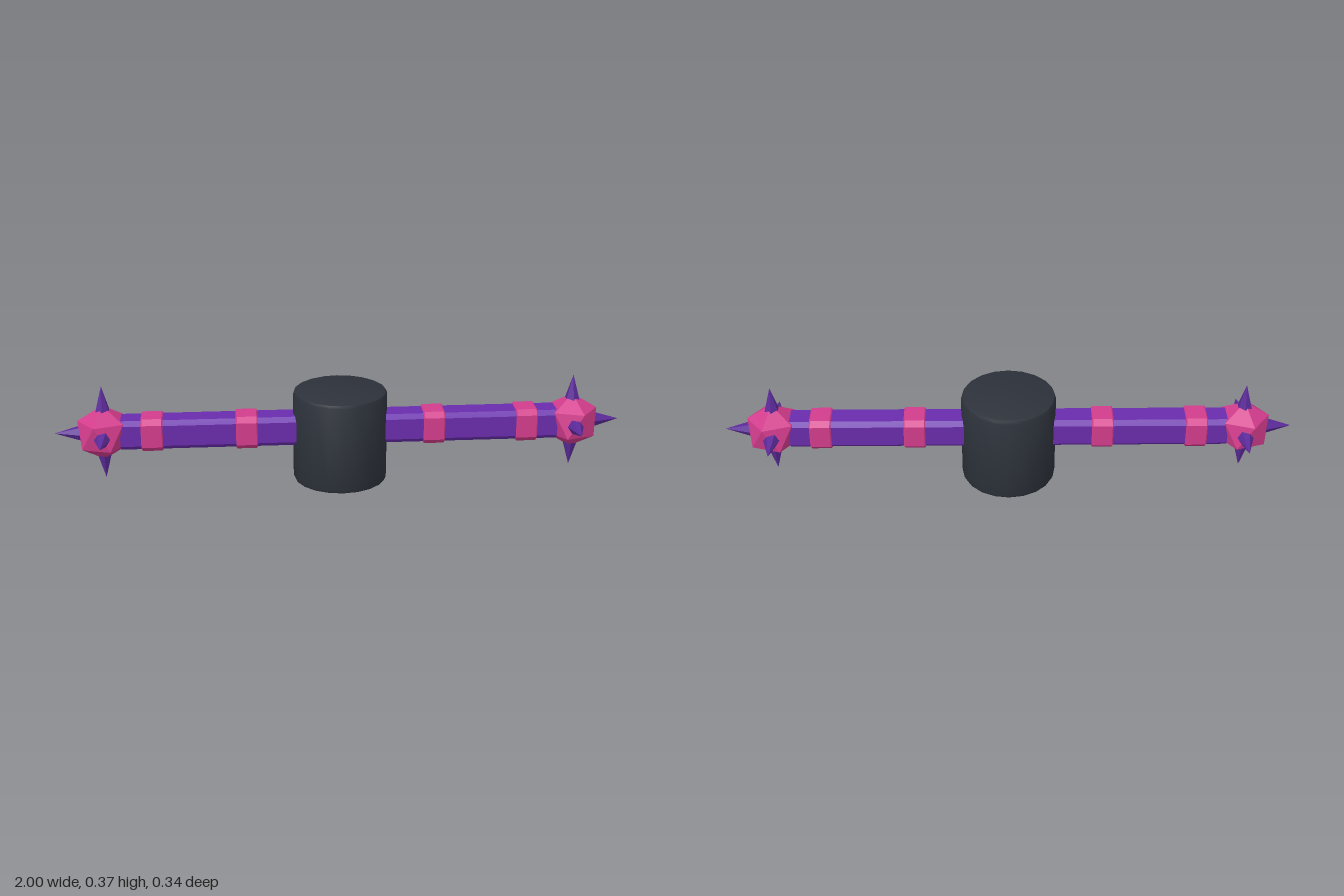
import * as THREE from 'three';
import { toCreasedNormals } from 'three/addons/utils/BufferGeometryUtils.js';

const AXIS_Y = 0.195; // height of the arms
const BALL_X = 0.83;

const paint = (color, flatShading = true) => new THREE.MeshStandardMaterial({ color, flatShading });

function add(parent, name, geometry, material) {
  const mesh = new THREE.Mesh(geometry, material);
  mesh.name = name;
  parent.add(mesh);
  return mesh;
}

// Square bar with chamfered long edges, running along x
function chamferedBar(x0, x1, half, chamfer, bevel = 0) {
  const h = half - bevel, c = h - chamfer;
  const shape = new THREE.Shape([
    [h, -c], [h, c], [c, h], [-c, h], [-h, c], [-h, -c], [-c, -h], [c, -h],
  ].map(([x, y]) => new THREE.Vector2(x, y)));
  return new THREE.ExtrudeGeometry(shape, {
    depth: x1 - x0 - 2 * bevel,
    bevelEnabled: bevel > 0, bevelSize: bevel, bevelThickness: bevel, bevelSegments: 1,
  }).translate(0, 0, x0 + bevel).rotateY(Math.PI / 2);
}

// One spiked arm pointing along +x
function createArm() {
  const arm = new THREE.Group();
  const purple = paint(0x6a2cac);
  const darkPurple = paint(0x5c2a9a);
  const pink = paint(0xd23c8c);

  add(arm, 'armBar', chamferedBar(0.1, 0.77, 0.053, 0.016), purple);
  for (const x of [0.33, 0.66]) {
    add(arm, 'armBand', chamferedBar(x - 0.038, x + 0.038, 0.059, 0.016, 0.004), pink);
  }

  // Icosahedron stood on a vertex, with one upper corner facing outward
  const ball = new THREE.Group();
  ball.name = 'spikedBall';
  ball.position.x = BALL_X;
  arm.add(ball);
  const core = new THREE.IcosahedronGeometry(0.1, 0)
    .rotateX(-Math.atan((1 + Math.sqrt(5)) / 2))
    .rotateY(Math.PI / 2);
  add(ball, 'ballCore', core, pink);

  // Six-sided spikes: up, down, outward, front, back
  const spike = (twist = 0) =>
    new THREE.ConeGeometry(0.03, 0.1, 6).rotateY(twist).translate(0, 0.12, 0);
  const q = Math.PI / 2;
  add(ball, 'spikeUp', spike(), darkPurple);
  add(ball, 'spikeDown', spike().rotateX(Math.PI), darkPurple);
  add(ball, 'spikeOutward', spike().rotateZ(-q), darkPurple);
  add(ball, 'spikeFront', spike(Math.PI / 6).rotateX(q), darkPurple);
  add(ball, 'spikeBack', spike(Math.PI / 6).rotateX(-q), darkPurple);
  return arm;
}

export function createModel() {
  const model = new THREE.Group();
  model.name = 'spikedSpinner';

  // Central hub with bevelled rims
  const r = 0.166, h = 0.332, b = 0.014;
  const profile = [
    [0, 0], [r - b, 0], [r - b * 0.3, b * 0.3], [r, b],
    [r, h - b], [r - b * 0.3, h - b * 0.3], [r - b, h], [0, h],
  ].map(([x, y]) => new THREE.Vector2(x, y));
  const hub = toCreasedNormals(new THREE.LatheGeometry(profile, 20), 0.6);
  add(model, 'hub', hub, paint(0x2d323b, false));

  // Two opposite arms
  for (const [name, angle] of [['leftArm', 0], ['rightArm', Math.PI]]) {
    const arm = createArm();
    arm.name = name;
    arm.position.y = AXIS_Y;
    arm.rotation.y = angle;
    model.add(arm);
  }
  return model;
}
